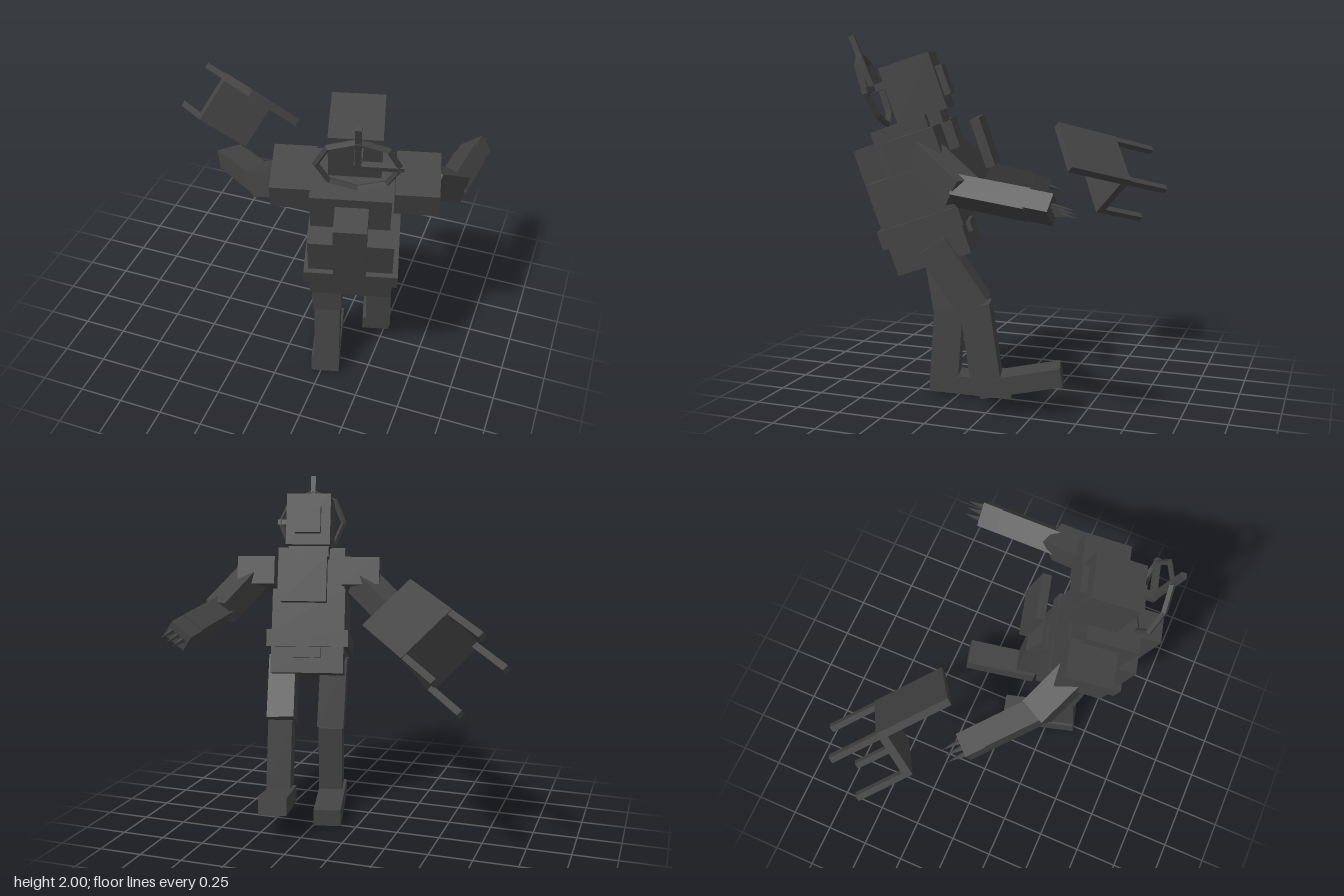
import * as THREE from 'three';

const YAW = 0.253, LEAN = 0.326;
const V = (p) => new THREE.Vector3(...p);

export function createModel() {
  const model = new THREE.Group();
  model.name = 'blockyRobotWithChair';
  const mat = new THREE.MeshStandardMaterial({ color: 0x444444, flatShading: true });
  mat.name = 'charcoal';

  const add = (parent, name, geometry) => {
    const m = new THREE.Mesh(geometry, mat);
    m.name = name;
    parent.add(m);
    return m;
  };
  // box from ranges on each axis
  const block = (parent, name, [x0, x1], [y0, y1], [z0, z1]) => {
    const m = add(parent, name, new THREE.BoxGeometry(x1 - x0, y1 - y0, z1 - z0));
    m.position.set((x0 + x1) / 2, (y0 + y1) / 2, (z0 + z1) / 2);
    return m;
  };
  // box stretched between two points
  const limb = (name, a, b, w, h, up) => {
    const m = add(model, name, new THREE.BoxGeometry(w, h, V(a).distanceTo(V(b))));
    m.position.copy(V(a).add(V(b)).multiplyScalar(0.5));
    m.up.set(...up);
    m.lookAt(V(b));
    return m;
  };

  // leaning upper body
  const body = new THREE.Group();
  body.name = 'body';
  body.rotation.set(LEAN, YAW, 0, 'YXZ');
  model.add(body);
  const c = 0.307;
  const mid = (half) => [c - half, c + half];
  block(body, 'pelvis', mid(0.215), [0.9, 1.13], [-0.1, 0.305]);
  block(body, 'buckle', mid(0.08), [0.99, 1.05], [-0.125, -0.09]);
  block(body, 'belt', mid(0.242), [1.055, 1.155], [-0.115, 0.33]);
  block(body, 'abdomen', [0.088, 0.52], [1.15, 1.4], [-0.11, 0.305]);
  block(body, 'chest', [0.095, 0.495], [1.38, 1.65], [-0.1, 0.2]);
  block(body, 'chestPlate', mid(0.13), [1.285, 1.55], [-0.355, -0.305]);
  block(body, 'backPack', [0.22, 0.385], [1.12, 1.585], [0.19, 0.345]);
  block(body, 'neck', mid(0.12), [1.58, 1.66], [-0.17, 0.05]);
  block(body, 'head', mid(0.13), [1.645, 1.95], [-0.215, 0.06]);
  block(body, 'facePlate', mid(0.075), [1.71, 1.87], [-0.25, -0.2]);
  for (const s of [-1, 1]) {
    block(body, s < 0 ? 'rightShoulder' : 'leftShoulder',
      [c + s * 0.31 - 0.11, c + s * 0.31 + 0.11], [1.42, 1.585], [-0.16, 0.11]);
  }

  // octagonal ring with hub and two rods behind the head
  const ring = new THREE.Group();
  ring.name = 'headRing';
  ring.position.set(0.325, 1.862, 0.145);
  ring.rotation.x = 0.05;
  body.add(ring);
  add(ring, 'hoop', new THREE.TorusGeometry(0.197, 0.017, 4, 8));
  block(ring, 'hub', [-0.02, 0.02], [-0.02, 0.02], [-0.1, 0.015]);
  block(ring, 'uprightRod', [-0.015, 0.015], [-0.015, 0.3], [-0.015, 0.015]);
  block(ring, 'sideRod', [-0.015, 0.215], [-0.015, 0.015], [-0.015, 0.015]);

  // arms with clawed hands
  const arm = (side, shoulder, elbow, tip, up) => {
    const at = (t) => V(elbow).lerp(V(tip), t).toArray();
    limb(side + 'UpperArm', shoulder, elbow, 0.16, 0.145, [0, 1, 0]);
    limb(side + 'Forearm', at(-0.06), at(0.75), 0.135, 0.115, up);
    const hand = limb(side + 'Hand', at(0.73), at(1), 0.14, 0.1, up);
    const half = hand.geometry.parameters.depth / 2;
    for (const x of [-0.038, 0, 0.038]) {
      const claw = add(hand, side + 'Claw', new THREE.ConeGeometry(0.017, 0.12, 4));
      claw.rotation.x = Math.PI / 2;
      claw.position.set(x, 0, half + 0.055);
    }
  };
  arm('left', [0.74, 1.42, 0.25], [0.835, 1.245, -0.01], [0.865, 1.185, -0.48], [-0.6, 0.8, 0]);
  arm('right', [0.1, 1.4, 0.41], [-0.145, 1.235, 0.28], [-0.455, 1.115, -0.02], [0, 1, 0]);

  // legs and feet
  const leg = (side, hip, knee, ankle, foot, length, pitch) => {
    const up = [0.25, 0, 0.97];
    limb(side + 'Thigh', hip, knee, 0.16, 0.17, up);
    limb(side + 'Shin', [knee[0], knee[1] + 0.01, knee[2]], ankle, 0.142, 0.158, up);
    const f = add(model, side + 'Foot', new THREE.BoxGeometry(0.16, 0.1, length));
    f.position.set(...foot);
    f.rotation.set(pitch, YAW, 0, 'YXZ');
  };
  leg('left', [0.55, 0.92, 0.27], [0.485, 0.59, 0.06], [0.48, 0.185, 0],
    [0.422, 0.184, -0.17], 0.445, 0.175);
  leg('right', [0.26, 0.93, 0.37], [0.26, 0.515, 0.3], [0.27, 0.1, 0.33],
    [0.225, 0.07, 0.185], 0.46, -0.075);

  // floating chair
  const chair = new THREE.Group();
  chair.name = 'chair';
  const u = V([0.62, -0.665, -0.415]).normalize();
  const w = V([-0.703, -0.243, -0.662]).normalize();
  const v = w.clone().cross(u).normalize();
  chair.quaternion.setFromRotationMatrix(new THREE.Matrix4().makeBasis(u, v, u.clone().cross(v)));
  chair.position.set(-0.588, 1.175, -0.39);
  model.add(chair);
  block(chair, 'seat', [-0.178, 0.178], [-0.155, 0.155], [-0.045, 0]);
  block(chair, 'backrest', [-0.178, 0.178], [-0.16, -0.115], [-0.415, 0]);
  for (const x of [-0.16, 0.16]) for (const y of [-0.137, 0.137])
    block(chair, 'chairLeg', [x - 0.018, x + 0.018], [y - 0.018, y + 0.018], [-0.01, 0.28]);

  return model;
}
